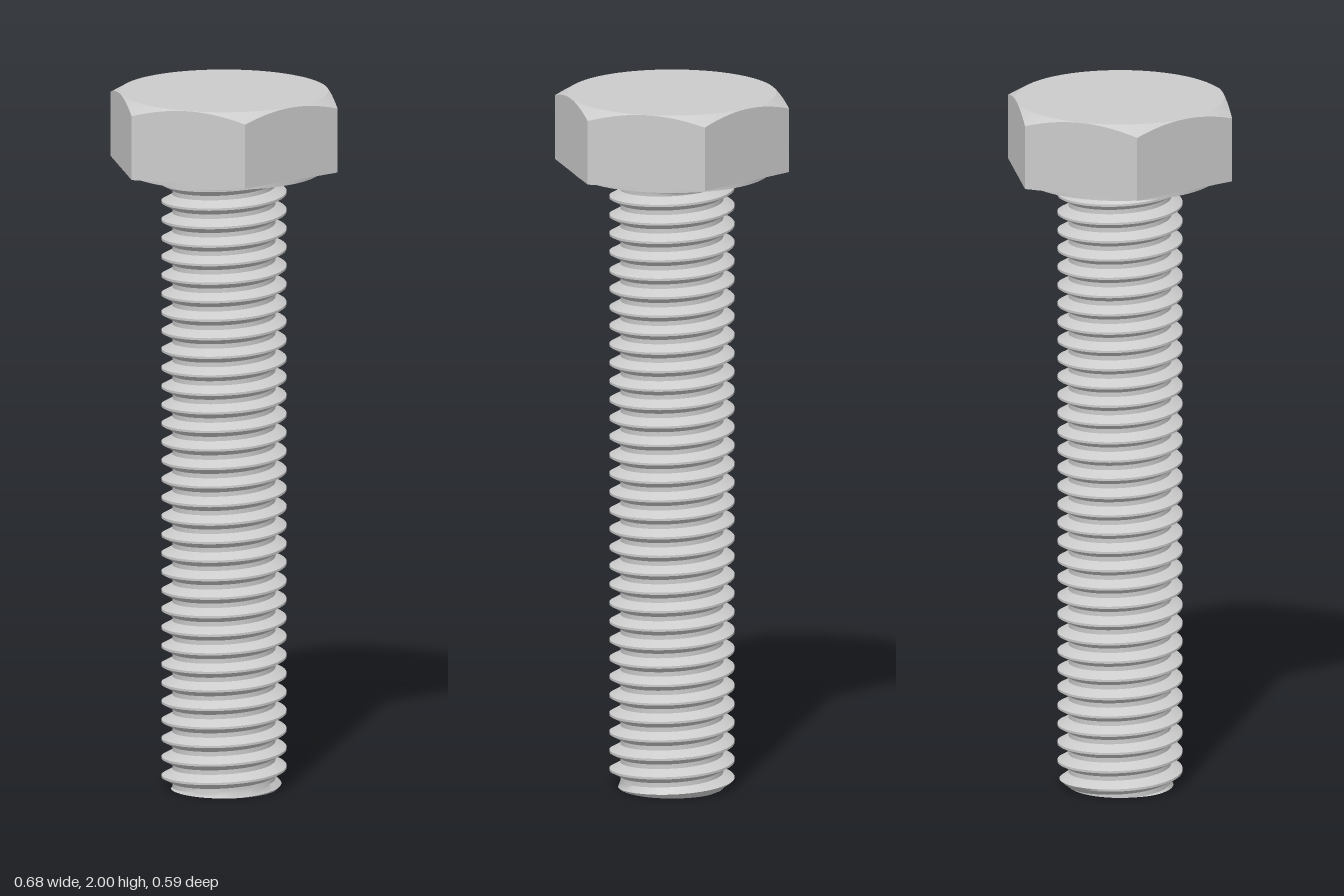
import * as THREE from 'three';
import { toCreasedNormals } from 'three/addons/utils/BufferGeometryUtils.js';

const TOP = 2, HEAD_BASE = 1.79, SEAT = 1.773;
const FLAT = 0.294;                                   // half the width across flats
const PITCH = 0.0532, CREST = 0.176, ROOT = 0.145;

// Surface around the y axis; point(row, angle) gives [radius, height], rows run upward.
function wrap(rows, segments, point, crease) {
  const pos = [], index = [];
  for (let j = 0; j < rows; j++) {
    for (let i = 0; i <= segments; i++) {
      const a = (i / segments) * Math.PI * 2;
      const [r, y] = point(j, a);
      pos.push(r * Math.cos(a), y, -r * Math.sin(a));
      if (j < rows - 1 && i < segments) {
        const p = j * (segments + 1) + i, q = p + segments + 1;
        index.push(p, p + 1, q + 1, p, q + 1, q);
      }
    }
  }
  const geo = new THREE.BufferGeometry();
  geo.setAttribute('position', new THREE.Float32BufferAttribute(pos, 3));
  geo.setIndex(index);
  return toCreasedNormals(geo, crease);
}

// Hexagonal head with a 30 degree conical chamfer on top
function headGeometry() {
  return wrap(5, 96, (j, a) => {
    const hex = FLAT / Math.cos((a % (Math.PI / 3)) - Math.PI / 6);
    const shoulder = TOP - (hex - FLAT + 0.001) * Math.tan(Math.PI / 6);
    return [[0, HEAD_BASE], [hex, HEAD_BASE], [hex, shoulder], [FLAT - 0.001, TOP], [0, TOP]][j];
  }, 0.4);
}

// Radius of the threaded shank at a height and angle
function shankRadius(y, a) {
  const turns = (y - 0.005) / PITCH - a / (Math.PI * 2);
  const t = turns - Math.floor(turns);
  const d = Math.min(t, 1 - t);                       // distance from the crest, in pitches
  let r = CREST;
  if (d > 0.06) r = CREST - (CREST - ROOT) * Math.min(1, (d - 0.06) / 0.32);
  if (d > 0.38) r -= 0.002 * (d - 0.38) / 0.12;
  r = Math.min(r, 0.15 + y);                          // chamfered tip
  const s = THREE.MathUtils.clamp((y - 1.735) / 0.038, 0, 1);
  return Math.max(r, 0.145 + 0.045 * s * s);          // fillet under the head
}

// Right-handed thread: rows follow the helix and are cut off at both ends
function shankGeometry() {
  const phases = [-0.06, 0.06, 0.38, 0.5, 0.62];
  const rows = 36 * phases.length;
  return wrap(rows + 1, 64, (j, a) => {
    if (j === 0) return [0, 0];                       // centre of the tip face
    const k = j - 1;
    const turn = Math.floor(k / phases.length) - 2 + phases[k % phases.length];
    const y = THREE.MathUtils.clamp(0.005 + PITCH * (turn + a / (Math.PI * 2)), 0, SEAT);
    return [shankRadius(y, a), y];
  }, 0.6);
}

export function createModel() {
  const bolt = new THREE.Group();
  bolt.name = 'hexBolt';
  const steel = new THREE.MeshStandardMaterial({ color: 0xcccccc });
  const add = (name, geometry) => {
    const mesh = new THREE.Mesh(geometry, steel);
    mesh.name = name;
    bolt.add(mesh);
    return mesh;
  };

  add('head', headGeometry());
  add('threadedShank', shankGeometry());

  // Thin round bearing face beneath the head
  const height = HEAD_BASE - SEAT;
  add('bearingFace', new THREE.CylinderGeometry(0.275, 0.275, height, 96))
    .position.y = SEAT + height / 2;

  return bolt;
}
